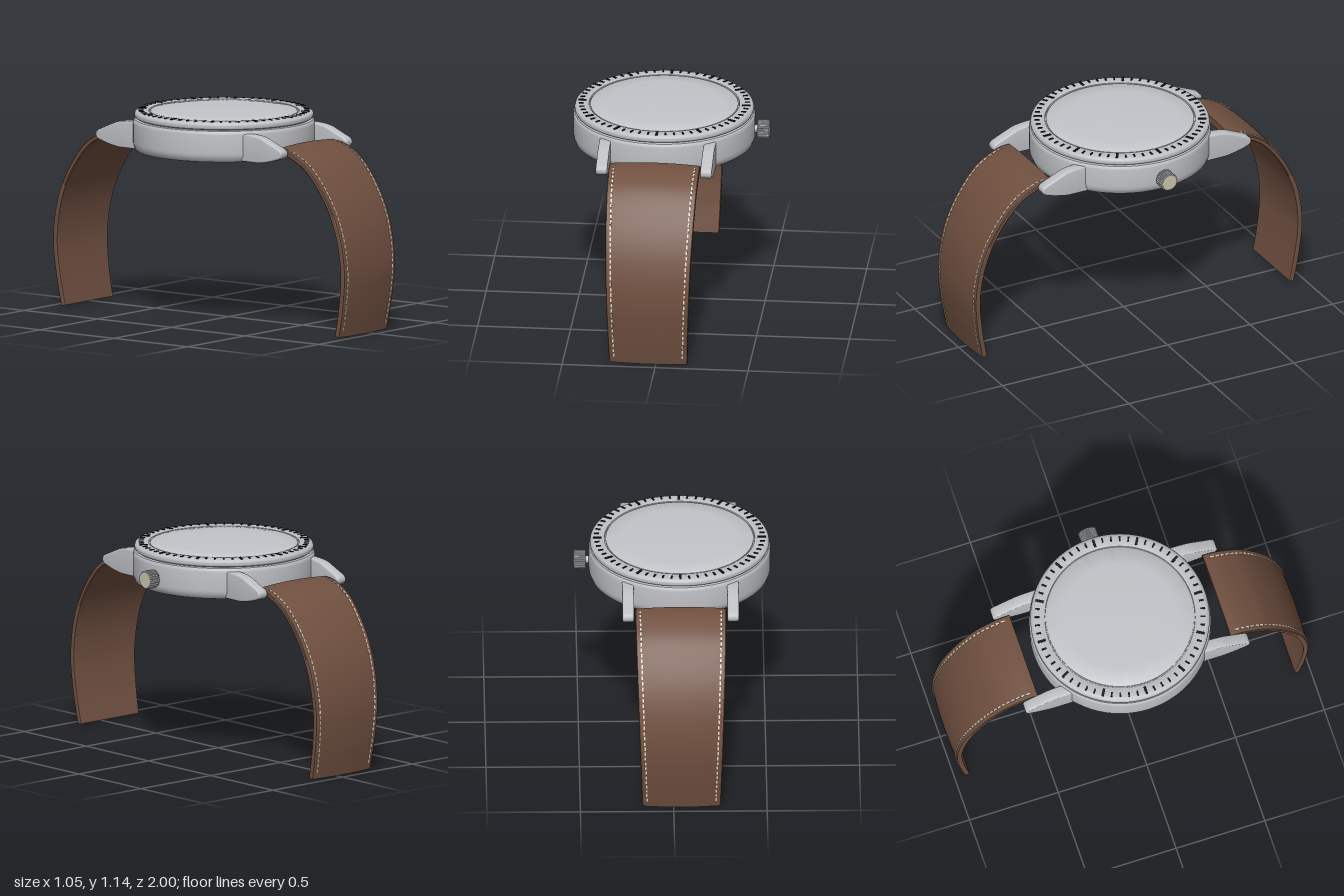
import * as THREE from 'three';
import { mergeGeometries, toCreasedNormals } from 'three/addons/utils/BufferGeometryUtils.js';

const mat = (name, color) => {
  const m = new THREE.MeshStandardMaterial({ color });
  m.name = name;
  return m;
};

export function createModel() {
  const metal = mat('brushed steel', 0xbec0c4);
  const glass = mat('crystal grey', 0xc2c5c9);
  const leather = mat('brown leather', 0x705040);
  const thread = mat('cream thread', 0xe2d6c0);
  const black = mat('black markings', 0x161616);
  const cream = mat('crown inlay', 0xcdc4ae);

  const model = new THREE.Group();
  model.name = 'wristwatch';
  const watch = new THREE.Group();
  watch.name = 'watch';
  watch.position.x = -0.042;
  model.add(watch);

  const add = (parent, name, geo, material) => {
    const mesh = new THREE.Mesh(geo, material);
    mesh.name = name;
    parent.add(mesh);
    return mesh;
  };
  const lathe = (pts) => toCreasedNormals(
    new THREE.LatheGeometry(pts.map(([r, y]) => new THREE.Vector2(r, y)), 96), 0.6);

  // Round case, bezel, crystal and back plate
  add(watch, 'case', lathe([[0, 0.91], [0.458, 0.91], [0.468, 0.913], [0.478, 0.922], [0.486, 0.945],
    [0.487, 0.96], [0.487, 1.06], [0.485, 1.072], [0.478, 1.08], [0.462, 1.083], [0.462, 1.092]]), metal);
  add(watch, 'bezel', lathe([[0.45, 1.084], [0.468, 1.085], [0.476, 1.09], [0.48, 1.1], [0.48, 1.108],
    [0.476, 1.117], [0.466, 1.124], [0.455, 1.126], [0.408, 1.126], [0.403, 1.124], [0.401, 1.116], [0.38, 1.116]]), metal);
  add(watch, 'crystal', lathe([[0.396, 1.114], [0.396, 1.122], [0.39, 1.126], [0.3, 1.131],
    [0.2, 1.135], [0.1, 1.137], [0, 1.138]]), glass);
  add(watch, 'backPlate', lathe([[0, 0.894], [0.254, 0.894], [0.26, 0.898], [0.26, 0.912]]), metal);

  // Minute marks around the bezel and dots on the case back
  const ticks = [], dots = [];
  for (let i = 0; i < 60; i++) {
    const major = i % 5 === 0;
    const angle = i * Math.PI / 30;
    ticks.push(new THREE.BoxGeometry(major ? 0.044 : 0.026, 0.008, major ? 0.013 : 0.009)
      .translate(major ? 0.44 : 0.445, 1.126, 0).rotateY(angle));
    if (!major) dots.push(new THREE.BoxGeometry(0.01, 0.004, 0.008).translate(0.44, 0.909, 0).rotateY(angle));
  }
  add(watch, 'minuteMarks', mergeGeometries(ticks), black);
  add(watch, 'backDots', mergeGeometries(dots), black);

  // Knurled crown on a short stem
  const crown = new THREE.Group();
  crown.name = 'crown';
  crown.position.y = 0.995;
  watch.add(crown);
  add(crown, 'crownStem', new THREE.CylinderGeometry(0.021, 0.021, 0.06, 24).rotateZ(-Math.PI / 2).translate(0.49, 0, 0), metal);
  const gear = new THREE.Shape();
  const teeth = 24;
  for (let i = 0; i < teeth * 4; i++) {
    const a = i / (teeth * 4) * Math.PI * 2;
    const r = i % 4 < 2 ? 0.049 : 0.044;
    gear[i ? 'lineTo' : 'moveTo'](r * Math.cos(a), r * Math.sin(a));
  }
  gear.closePath();
  add(crown, 'crownKnob', new THREE.ExtrudeGeometry(gear, {
    depth: 0.056, bevelEnabled: true, bevelThickness: 0.003, bevelSize: 0.002, bevelOffset: -0.001, bevelSegments: 1,
  }).rotateY(Math.PI / 2).translate(0.506, 0, 0), metal);
  add(crown, 'crownInlay', new THREE.CylinderGeometry(0.043, 0.043, 0.004, 40).rotateZ(-Math.PI / 2).translate(0.565, 0, 0), cream);

  // Lug side profile (z, y), extruded across its width
  const lugShape = new THREE.Shape();
  lugShape.moveTo(0.3, 0.92);
  lugShape.lineTo(0.47, 0.92);
  lugShape.quadraticCurveTo(0.53, 0.925, 0.605, 0.95);
  lugShape.quadraticCurveTo(0.628, 0.958, 0.628, 0.975);
  lugShape.quadraticCurveTo(0.628, 0.99, 0.605, 1.0);
  lugShape.lineTo(0.5, 1.045);
  lugShape.quadraticCurveTo(0.465, 1.058, 0.39, 1.06);
  lugShape.lineTo(0.3, 1.06);
  lugShape.closePath();
  const lugGeo = toCreasedNormals(new THREE.ExtrudeGeometry(lugShape, {
    depth: 0.046, bevelEnabled: true, bevelThickness: 0.008, bevelSize: 0.008, bevelOffset: -0.004, bevelSegments: 3, curveSegments: 10,
  }).rotateY(-Math.PI / 2).translate(0.023, 0, 0), 0.6);

  // Strap path along the middle of its outer face
  const path = new THREE.CatmullRomCurve3([[0.545, 1.001], [0.6, 0.997], [0.66, 0.977], [0.76, 0.917], [0.885, 0.76],
    [0.965, 0.58], [0.999, 0.37], [0.985, 0.18], [0.953, 0.002]].map(([z, y]) => new THREE.Vector3(0, y, z)));
  const halfWidth = (y) => 0.21 + 0.034 * y;
  const frame = (t) => {
    const p = path.getPointAt(t), tan = path.getTangentAt(t);
    return { p, tan, n: new THREE.Vector3(0, tan.z, -tan.y) };
  };

  // Crowned cross-section: outer face left to right, then flat inner face back
  const section = [];
  for (let k = -4; k <= 4; k++) {
    const u = k / 4;
    section.push([u * 0.985, -0.011 * u * u]);
  }
  section.push([1, -0.016], [1, -0.032], [0.985, -0.037], [-0.985, -0.037], [-1, -0.032], [-1, -0.016]);

  function strapGeometry() {
    const steps = 48, count = section.length, pos = [], idx = [];
    for (let i = 0; i <= steps; i++) {
      const { p, n } = frame(i / steps);
      for (const [u, v] of section) pos.push(u * halfWidth(p.y), p.y + n.y * v, p.z + n.z * v);
    }
    for (let i = 0; i < steps; i++) for (let j = 0; j < count; j++) {
      const a = i * count + j, b = i * count + (j + 1) % count;
      idx.push(a, a + count, b, b, a + count, b + count);
    }
    const end = steps * count;
    for (let j = 1; j < count - 1; j++) idx.push(0, j, j + 1, end, end + j + 1, end + j);
    const g = new THREE.BufferGeometry();
    g.setAttribute('position', new THREE.Float32BufferAttribute(pos, 3));
    g.setIndex(idx);
    return toCreasedNormals(g, 0.5);
  }

  // Rows of thread dashes near both strap edges
  function stitchGeometry() {
    const list = [], length = path.getLength(), n = Math.floor(length / 0.03);
    for (let i = 1; i < n - 1; i++) {
      const { p, tan, n: up } = frame((i + 0.5) / n);
      for (const side of [-1, 1]) {
        const basis = new THREE.Matrix4().makeBasis(new THREE.Vector3(1, 0, 0), up, tan);
        basis.setPosition(p.clone().addScaledVector(up, -0.0085).setX(side * (halfWidth(p.y) - 0.027)));
        list.push(new THREE.BoxGeometry(0.008, 0.005, 0.02).applyMatrix4(basis));
      }
    }
    return mergeGeometries(list);
  }

  // Front half and its copy turned to the back
  const strapGeo = strapGeometry(), stitchGeo = stitchGeometry();
  for (const [label, turn] of [['front', 0], ['back', Math.PI]]) {
    const half = new THREE.Group();
    half.name = label + 'Strap';
    half.rotation.y = turn;
    watch.add(half);
    add(half, label + 'StrapLeather', strapGeo, leather);
    add(half, label + 'Stitching', stitchGeo, thread);
    for (const side of [-1, 1]) add(half, label + 'Lug', lugGeo, metal).position.x = side * 0.281;
  }
  return model;
}
